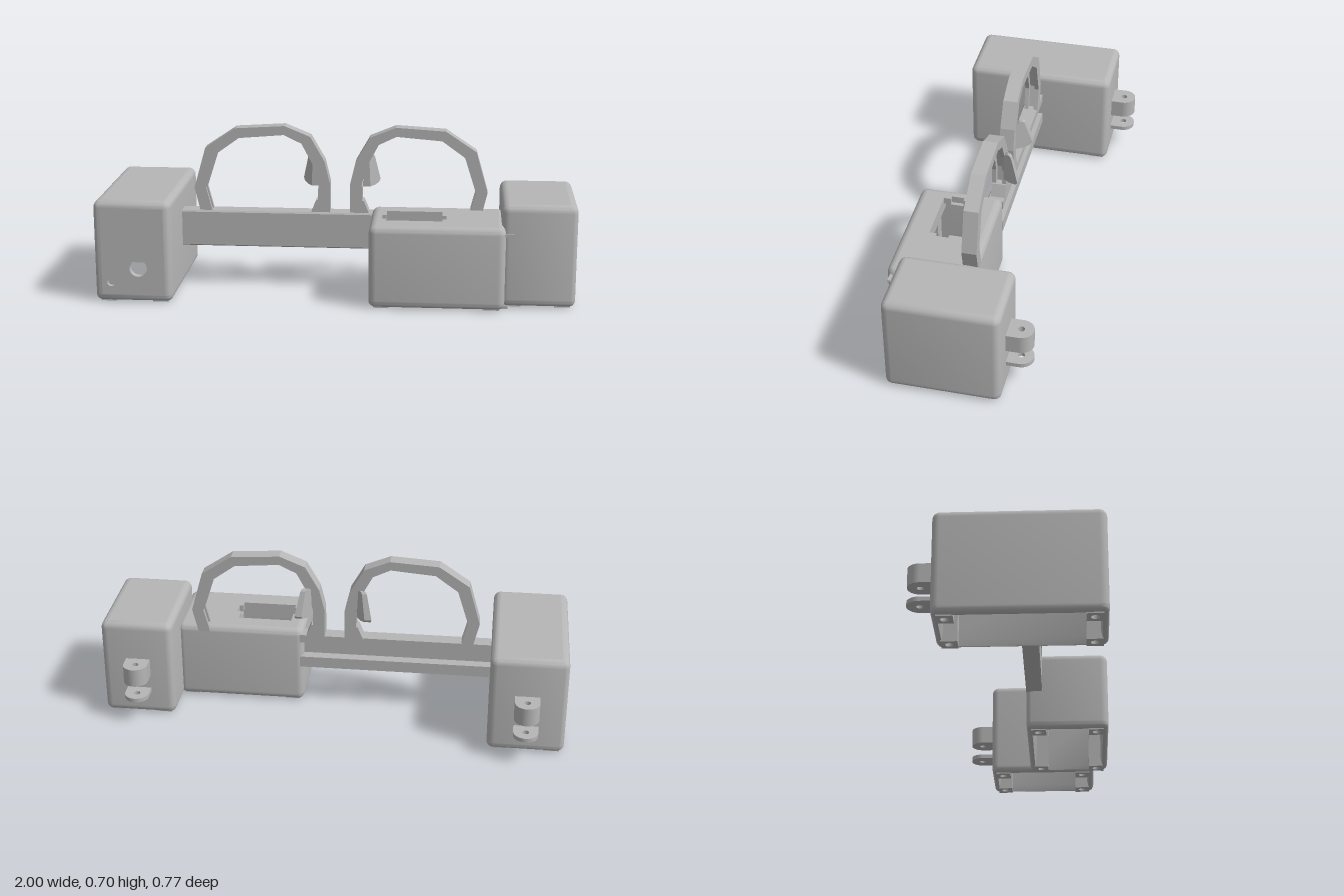
import * as THREE from 'three';
import { toCreasedNormals } from 'three/addons/utils/BufferGeometryUtils.js';

const R = 0.03; // wall thickness and edge radius

const shapeOf = (pts) => new THREE.Shape(pts.map(([x, y]) => new THREE.Vector2(x, y)));
const rect = (x0, x1, y0, y1) => shapeOf([[x0, y0], [x1, y0], [x1, y1], [x0, y1]]);
const circle = (x, y, r) => new THREE.Path().absarc(x, y, r, 0, Math.PI * 2, true);

// Extrusions along each axis
const alongZ = (shape, z0, z1) =>
  new THREE.ExtrudeGeometry(shape, { depth: z1 - z0, bevelEnabled: false, curveSegments: 16 }).translate(0, 0, z0);
const alongY = (shape, y0, y1) => // shape drawn in (x, z)
  alongZ(shape, 0, y1 - y0).rotateX(Math.PI / 2).translate(0, y1, 0);
const alongX = (shape, x0, x1) => // shape drawn in (z, y)
  alongZ(shape, 0, x1 - x0).rotateY(-Math.PI / 2).translate(x1, 0, 0);

// Shell of a case: rounded edges, open below; the front wall can be left out
function shellGeometry(b, openFront) {
  const n = 5, per = 4 * (n + 1), pos = [], idx = [];
  const profile = [[R, b.y1 - R], [R, b.y0 + R], [R * 0.8, b.y0]];
  for (let i = 0; i <= 5; i++) { // lower edge
    const a = (i / 5) * Math.PI / 2;
    profile.push([0.024 * (1 - Math.sin(a)), b.y0 + 0.024 * (1 - Math.cos(a))]);
  }
  profile.push([0, b.y0 + R]);
  const wall = profile.length - 1;
  for (let i = 0; i <= 5; i++) { // upper edge
    const a = (i / 5) * Math.PI / 2;
    profile.push([R * (1 - Math.cos(a)), b.y1 - R + R * Math.sin(a)]);
  }
  for (const [inset, y] of profile) {
    for (let k = 0; k < 4; k++) {
      const cx = k === 0 || k === 3 ? b.x1 - R : b.x0 + R;
      const cz = k < 2 ? b.z1 - R : b.z0 + R;
      for (let i = 0; i <= n; i++) {
        const a = (k + i / n) * Math.PI / 2, r = R - inset;
        pos.push(cx + r * Math.cos(a), y, cz + r * Math.sin(a));
      }
    }
  }
  for (let i = 0; i < profile.length - 1; i++) {
    for (let j = 0; j < per; j++) {
      if (openFront && j === n && (i === 0 || i === wall)) continue;
      const p = i * per + j, q = i * per + (j + 1) % per;
      idx.push(p, p + per, q, q, p + per, q + per);
    }
  }
  const g = new THREE.BufferGeometry();
  g.setAttribute('position', new THREE.Float32BufferAttribute(pos, 3));
  g.setIndex(idx);
  return toCreasedNormals(g, 0.6);
}

export function createModel() {
  const root = new THREE.Group();
  const grey = new THREE.MeshStandardMaterial({ color: 0xb6b6b6, side: THREE.DoubleSide });
  grey.name = 'grey plastic';
  const add = (name, geometry, parent = root) => {
    const m = new THREE.Mesh(geometry, grey);
    m.name = name;
    parent.add(m);
    return m;
  };

  // Hollow case with lid, optional lid window, optional front holes, and screw posts
  function makeCase(name, b, { window, holes } = {}) {
    const g = new THREE.Group();
    g.name = name;
    root.add(g);
    add('shell', shellGeometry(b, !!holes), g);
    const lid = rect(b.x0 + R, b.x1 - R, b.z0 + R, b.z1 - R);
    if (window) lid.holes.push(window);
    add('lid', alongY(lid, b.y1 - R, b.y1), g);
    if (holes) {
      const front = rect(b.x0 + R, b.x1 - R, b.y0 + R, b.y1 - R);
      for (const [x, y, r] of holes) front.holes.push(circle(x, y, r));
      add('frontWall', alongZ(front, b.z1 - R, b.z1), g);
    }
    const s = 0.065;
    for (const x of [b.x0 + 0.02, b.x1 - 0.02 - s]) {
      for (const z of [b.z0 + 0.02, b.z1 - 0.02 - s]) {
        const post = rect(x, x + s, z, z + s);
        post.holes.push(circle(x + s / 2, z + s / 2, 0.016));
        add('screwPost', alongY(post, 0, b.y1 - 0.02), g);
      }
    }
    return g;
  }

  const rightCase = makeCase('rightCase',
    { x0: -1, x1: -0.675, y0: 0.005, y1: 0.435, z0: -0.283, z1: 0.375 },
    { holes: [[-0.815, 0.15, 0.037], [-0.93, 0.087, 0.018]] });
  const leftCase = makeCase('leftCase',
    { x0: 0.69, x1: 1, y0: 0.005, y1: 0.435, z0: -0.15, z1: 0.323 });

  // Middle case with a notched window in its lid
  const windowPath = shapeOf([[0.21, 0.125], [0.445, 0.125], [0.445, 0.19], [0.462, 0.19], [0.462, 0.245],
    [0.445, 0.245], [0.445, 0.275], [0.21, 0.275], [0.21, 0.245], [0.193, 0.245], [0.193, 0.19], [0.21, 0.19]]);
  const middleCase = makeCase('middleCase',
    { x0: 0.145, x1: 0.706, y0: 0.005, y1: 0.352, z0: 0.03, z1: 0.386 }, { window: windowPath });
  for (const x of [0.185, 0.445]) add('windowLedge', alongY(rect(x, x + 0.025, 0.18, 0.255), 0.29, 0.322), middleCase);
  for (const z of [0.105, 0.275]) add('windowRail', alongY(rect(0.185, 0.47, z, z + 0.02), 0.29, 0.322), middleCase);
  for (const y of [0.314, 0.01]) add('hingePin', alongX(rect(0.358, 0.37, y, y + 0.012), 0.68, y > 0.1 ? 0.742 : 0.72), middleCase);

  // Strap lugs behind the outer cases
  function lugs(parent, x, z) {
    for (const [y0, y1] of [[0.188, 0.268], [0.11, 0.128]]) {
      const s = new THREE.Shape();
      s.moveTo(x - 0.052, z + 0.02);
      s.lineTo(x - 0.052, z - 0.052);
      s.absarc(x, z - 0.052, 0.052, Math.PI, Math.PI * 2, false);
      s.lineTo(x + 0.052, z + 0.02);
      s.holes.push(circle(x, z - 0.052, 0.014));
      add('strapLug', alongY(s, y0, y1), parent);
    }
  }
  lugs(rightCase, -0.835, -0.283);
  lugs(leftCase, 0.843, -0.15);

  // Front bar: channel open to the back
  add('bar', alongX(shapeOf([[0.03, 0.175], [0.095, 0.175], [0.1, 0.18], [0.1, 0.325], [0.095, 0.332], [0.03, 0.332],
    [0.03, 0.295], [0.075, 0.295], [0.075, 0.225], [0.03, 0.225]]), -0.69, 0.16));

  // Lens rims with an inner groove, and nose pads
  const outer = [[-0.595, 0.325], [-0.62, 0.43], [-0.57, 0.605], [-0.44, 0.692], [-0.23, 0.705],
    [-0.12, 0.66], [-0.06, 0.555], [-0.037, 0.46], [-0.037, 0.325]];
  const inner = [[-0.543, 0.325], [-0.57, 0.43], [-0.522, 0.58], [-0.425, 0.65], [-0.233, 0.666],
    [-0.158, 0.63], [-0.11, 0.54], [-0.086, 0.455], [-0.09, 0.325]];
  const middle = outer.map(([x, y], i) => [x * 0.5 + inner[i][0] * 0.5, y * 0.5 + inner[i][1] * 0.5]);
  for (const side of [-1, 1]) {
    const place = ([x, y]) => (side < 0 ? [x, y] : [0.013 - x, y]);
    const rim = new THREE.Group();
    rim.name = side < 0 ? 'rightRim' : 'leftRim';
    root.add(rim);
    for (const [inside, z0, z1] of [[inner, 0.028, 0.046], [middle, 0.046, 0.072], [inner, 0.072, 0.09]]) {
      add('rimLayer', alongZ(shapeOf([...outer, ...[...inside].reverse()].map(place)), z0, z1), rim);
    }
    add('rimFoot', alongZ(shapeOf([[-0.095, 0.385], [-0.06, 0.385], [-0.06, 0.325], [-0.12, 0.325]].map(place)), 0.028, 0.09), rim);

    // Pad slants outwards towards the back
    const pad = alongX(shapeOf([[0.032, 0.435], [0, 0.435], [-0.028, 0.443], [-0.036, 0.455],
      [-0.004, 0.562], [0.004, 0.569], [0.015, 0.568], [0.032, 0.555]]), -0.016, 0.016);
    const p = pad.attributes.position;
    const base = side < 0 ? -0.104 : 0.117;
    for (let i = 0; i < p.count; i++) {
      const taper = 1 - 0.35 * (p.getY(i) - 0.435) / 0.135;
      p.setX(i, base + p.getX(i) * taper - side * 0.6 * (p.getZ(i) - 0.032));
    }
    pad.computeVertexNormals();
    add('nosePad', pad, rim);
  }
  return root;
}
